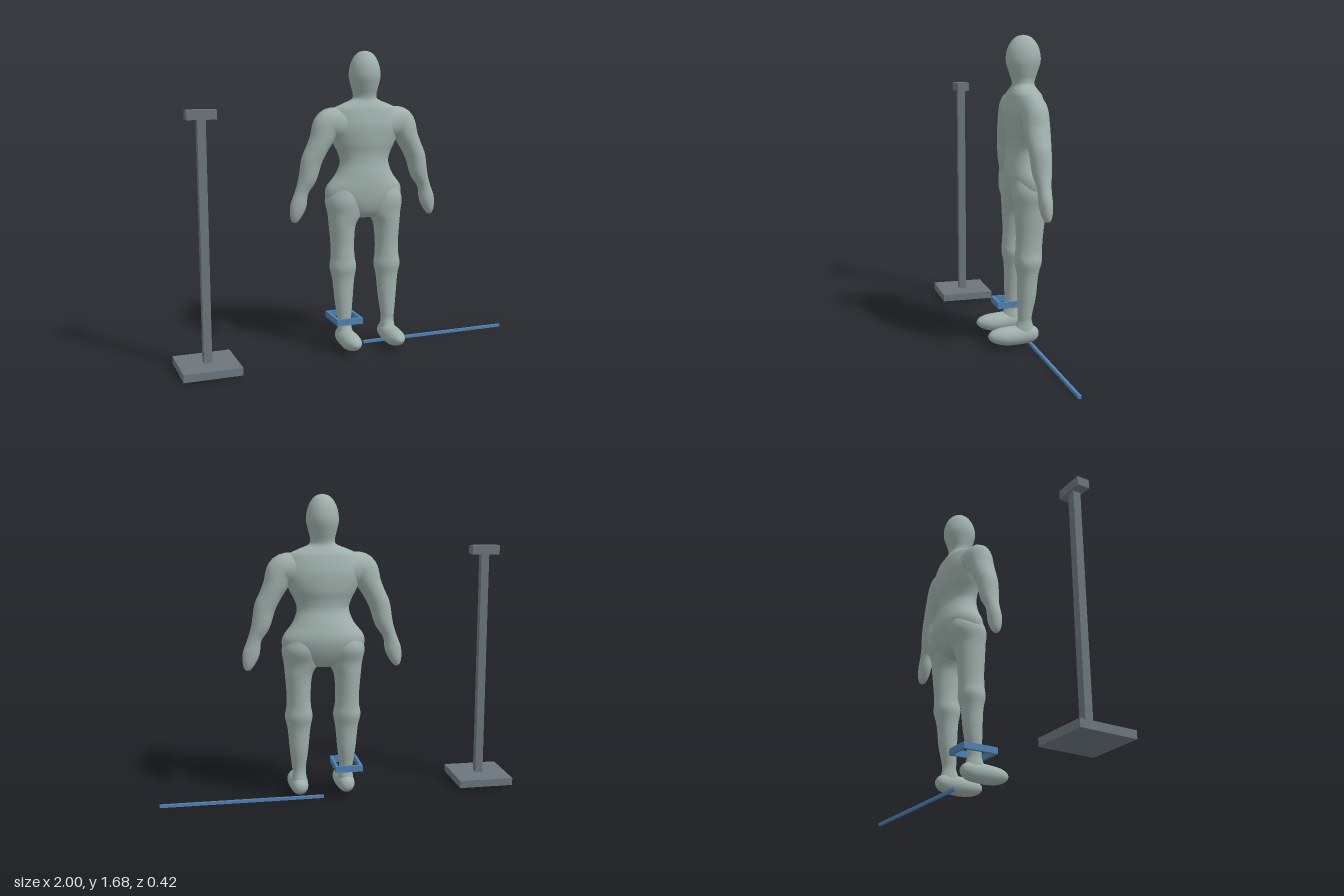
import * as THREE from 'three';

const X = new THREE.Vector3(1, 0, 0);
const Z = new THREE.Vector3(0, 0, 1);
const DOWN = new THREE.Vector3(0, -1, 0);

// Smooth skin through elliptical rings [x, y, z, radius along side, other radius].
// Rings face the given axis, or follow the path when axis is null.
function loft(keys, side, axis, steps = 6, around = 32) {
  const curve = (pts) => new THREE.CatmullRomCurve3(pts, false, 'catmullrom', 0.5);
  const path = curve(keys.map((k) => new THREE.Vector3(k[0], k[1], k[2])));
  const radii = curve(keys.map((k) => new THREE.Vector3(k[3], k[4], 0)));
  const rows = (keys.length - 1) * steps;
  const position = [], index = [];
  for (let i = 0; i <= rows; i++) {
    const c = path.getPoint(i / rows);
    const r = radii.getPoint(i / rows);
    const across = (axis || path.getTangent(i / rows)).clone().cross(side).normalize();
    for (let j = 0; j < around; j++) {
      const t = (j / around) * Math.PI * 2;
      const p = c.clone()
        .addScaledVector(side, Math.max(r.x, 0.0005) * Math.cos(t))
        .addScaledVector(across, Math.max(r.y, 0.0005) * Math.sin(t));
      position.push(p.x, p.y, p.z);
      if (i < rows) {
        const k = (j + 1) % around;
        const a = i * around + j, b = i * around + k;
        index.push(a, b, a + around, b, b + around, a + around);
      }
    }
  }
  const geometry = new THREE.BufferGeometry();
  geometry.setAttribute('position', new THREE.Float32BufferAttribute(position, 3));
  geometry.setIndex(index);
  geometry.computeVertexNormals();
  return geometry;
}

function material(name, color) {
  const m = new THREE.MeshStandardMaterial({ color });
  m.name = name;
  return m;
}

export function createModel() {
  const model = new THREE.Group();
  const skin = material('body grey green', 0x9fb0ab);
  const grey = material('stand grey', 0x6b767c);
  const blue = material('device blue', 0x4f81b3);

  const add = (parent, name, geometry, mat) => {
    const mesh = new THREE.Mesh(geometry, mat);
    mesh.name = name;
    parent.add(mesh);
    return mesh;
  };
  // Box given by its limits
  const box = (parent, name, x0, x1, y0, y1, z0, z1, mat) =>
    add(parent, name, new THREE.BoxGeometry(x1 - x0, y1 - y0, z1 - z0), mat)
      .position.set((x0 + x1) / 2, (y0 + y1) / 2, (z0 + z1) / 2);

  // Standing figure
  const figure = new THREE.Group();
  figure.name = 'figure';
  figure.position.x = 0.1;
  model.add(figure);

  // Head, neck and trunk, top to bottom: [y, z, half width, half depth]
  const trunk = [
    [1.677, -0.072, 0, 0], [1.669, -0.072, 0.032, 0.034], [1.645, -0.072, 0.058, 0.063],
    [1.60, -0.072, 0.079, 0.087], [1.54, -0.072, 0.087, 0.094], [1.48, -0.072, 0.075, 0.077],
    [1.44, -0.072, 0.066, 0.063], [1.412, -0.072, 0.076, 0.061], [1.385, -0.073, 0.14, 0.074],
    [1.355, -0.075, 0.19, 0.088], [1.27, -0.078, 0.215, 0.106], [1.18, -0.08, 0.185, 0.103],
    [1.12, -0.078, 0.155, 0.091], [1.065, -0.077, 0.142, 0.09], [0.995, -0.084, 0.168, 0.107],
    [0.92, -0.09, 0.222, 0.117], [0.85, -0.086, 0.215, 0.106], [0.79, -0.08, 0.15, 0.08],
    [0.757, -0.075, 0.07, 0.045], [0.748, -0.075, 0, 0],
  ].map(([y, z, a, b]) => [0, y, z, a, b]);
  add(figure, 'headAndTorso', loft(trunk, X, DOWN), skin);

  for (const s of [1, -1]) {
    const label = s > 0 ? 'left' : 'right';
    const mirror = (keys) => keys.map(([x, ...rest]) => [s * x, ...rest]);

    // Arm from inside the chest to the fingertips
    add(figure, label + 'Arm', loft(mirror([
      [0.07, 1.265, -0.075, 0.08, 0.095], [0.15, 1.277, -0.073, 0.078, 0.093],
      [0.215, 1.275, -0.07, 0.071, 0.085], [0.258, 1.195, -0.07, 0.069, 0.064],
      [0.288, 1.135, -0.07, 0.064, 0.058], [0.313, 1.08, -0.071, 0.058, 0.057],
      [0.335, 0.99, -0.073, 0.052, 0.05], [0.368, 0.915, -0.075, 0.037, 0.037],
      [0.388, 0.84, -0.076, 0.036, 0.045], [0.403, 0.785, -0.078, 0.03, 0.034],
      [0.411, 0.75, -0.08, 0.017, 0.017], [0.413, 0.741, -0.08, 0, 0],
    ]), Z, null), skin);

    // Leg from inside the hip to the ankle
    add(figure, label + 'Leg', loft(mirror([
      [0.105, 0.95, -0.088, 0.08, 0.085], [0.12, 0.86, -0.086, 0.105, 0.106],
      [0.119, 0.78, -0.075, 0.097, 0.09], [0.134, 0.71, -0.072, 0.075, 0.081],
      [0.135, 0.61, -0.069, 0.066, 0.073], [0.134, 0.535, -0.065, 0.067, 0.072],
      [0.134, 0.475, -0.063, 0.076, 0.073], [0.133, 0.405, -0.06, 0.063, 0.058],
      [0.133, 0.28, -0.055, 0.051, 0.05], [0.133, 0.19, -0.046, 0.04, 0.04],
      [0.132, 0.15, -0.045, 0.037, 0.039], [0.131, 0.11, -0.042, 0.042, 0.052],
      [0.131, 0.07, -0.04, 0.045, 0.055],
    ]), X, DOWN), skin);

    // Foot from heel to toes
    add(figure, label + 'Foot', loft(mirror([
      [0.131, 0.075, -0.124, 0, 0], [0.131, 0.075, -0.117, 0.024, 0.024],
      [0.131, 0.074, -0.09, 0.042, 0.044], [0.131, 0.073, -0.04, 0.05, 0.052],
      [0.131, 0.07, 0.04, 0.055, 0.051], [0.131, 0.071, 0.1, 0.049, 0.043],
      [0.131, 0.073, 0.14, 0.03, 0.027], [0.131, 0.073, 0.155, 0.012, 0.011],
      [0.131, 0.073, 0.158, 0, 0],
    ]), X, Z), skin);
  }

  // Free-standing post
  const stand = new THREE.Group();
  stand.name = 'stand';
  model.add(stand);
  box(stand, 'standBase', -1, -0.688, 0.013, 0.055, -0.1, 0.212, grey);
  box(stand, 'standPost', -0.866, -0.822, 0.055, 1.335, 0.035, 0.079, grey);
  box(stand, 'standHead', -0.922, -0.766, 1.335, 1.385, 0.022, 0.092, grey);

  // Square band around the right ankle
  const band = new THREE.Group();
  band.name = 'ankleBand';
  model.add(band);
  const [x0, x1, z0, z1, w] = [-0.108, 0.042, -0.152, 0.053, 0.016];
  box(band, 'bandFront', x0, x1, 0.165, 0.2, z1 - w, z1, blue);
  box(band, 'bandBack', x0, x1, 0.165, 0.2, z0, z0 + w, blue);
  box(band, 'bandLeft', x1 - w, x1, 0.165, 0.2, z0 + w, z1 - w, blue);
  box(band, 'bandRight', x0, x0 + w, 0.165, 0.2, z0 + w, z1 - w, blue);

  // Thin rod lying on the ground
  box(model, 'groundRod', 0.1, 1, 0.002, 0.018, -0.092, -0.076, blue);

  return model;
}
